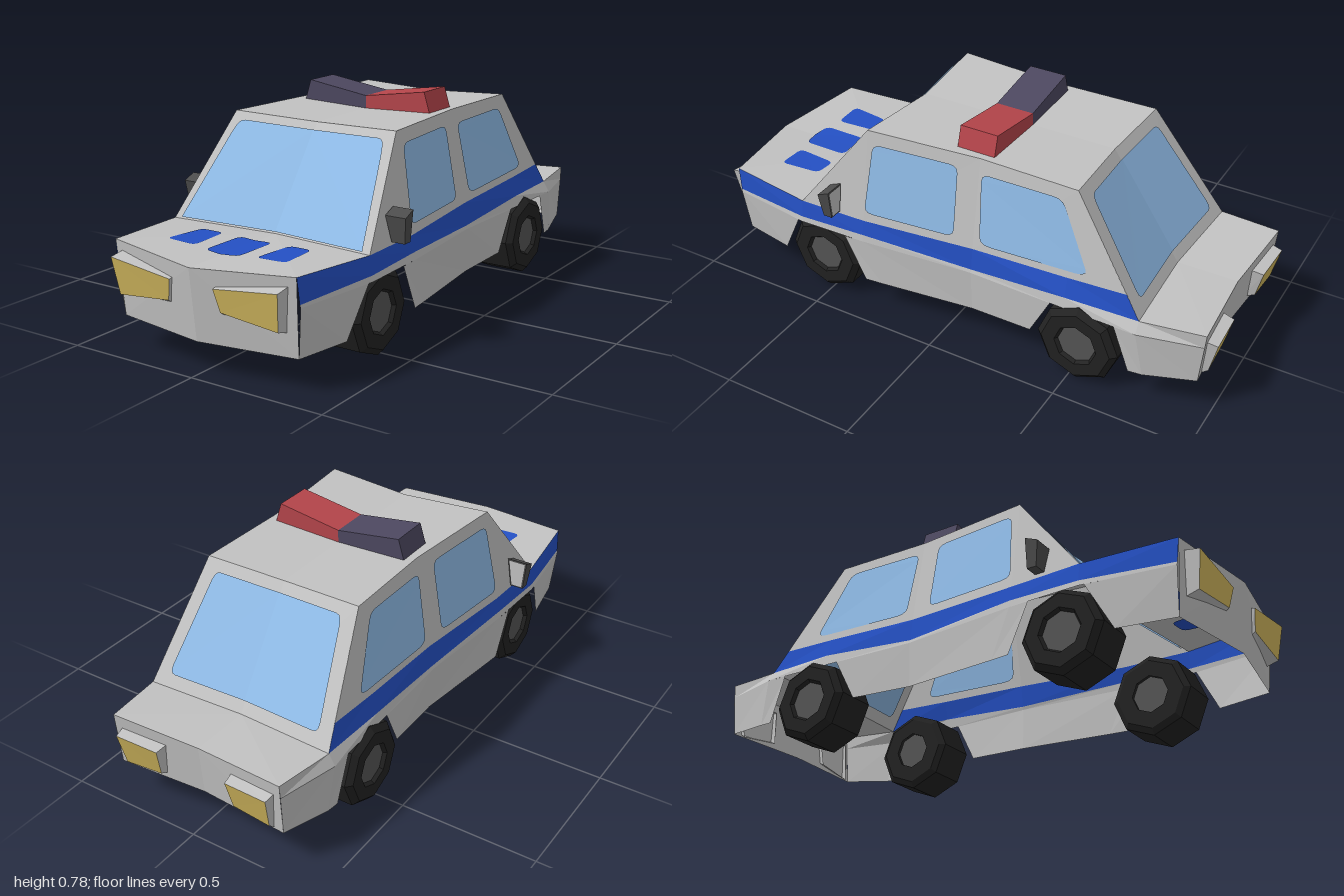
import * as THREE from 'three';

const paint = (name, color) => {
  const m = new THREE.MeshStandardMaterial({ color, flatShading: true, side: THREE.DoubleSide });
  m.name = name;
  return m;
};

export function createModel() {
  const grey = paint('body grey', 0xc2c2c2);
  const blue = paint('stripe blue', 0x2450c4);
  const glass = paint('window blue', 0x90bce8);
  const yellow = paint('lamp yellow', 0xd2b85e);
  const black = paint('tyre black', 0x222222);
  const hubGrey = paint('hub grey', 0x555555);
  const mirrorGrey = paint('mirror dark grey', 0x4c4c4c);
  const red = paint('beacon red', 0xb5454b);
  const navy = paint('beacon dark', 0x4d4860);

  const car = new THREE.Group();
  car.name = 'patrolCar';

  const add = (parent, name, geo, mat) => {
    const m = new THREE.Mesh(geo, mat);
    m.name = name;
    parent.add(m);
    return m;
  };

  // Sheet of quads between two rows of points
  const strip = (parent, name, mat, a, b) => {
    const pos = [];
    for (let i = 0; i < a.length - 1; i++) {
      for (const p of [a[i], b[i], b[i + 1], a[i], b[i + 1], a[i + 1]]) pos.push(...p);
    }
    const g = new THREE.BufferGeometry();
    g.setAttribute('position', new THREE.Float32BufferAttribute(pos, 3));
    g.computeVertexNormals();
    return add(parent, name, g, mat);
  };

  // Outline with rounded corners, points are [u, v, radius]
  const roundShape = (pts) => {
    const s = new THREE.Shape();
    pts.forEach(([x, y, r = 0], i) => {
      const p = new THREE.Vector2(x, y);
      const toward = (q) => {
        const d = new THREE.Vector2(q[0], q[1]).sub(p);
        return d.setLength(Math.min(r, d.length() / 2)).add(p);
      };
      const a = toward(pts[(i + pts.length - 1) % pts.length]);
      const b = toward(pts[(i + 1) % pts.length]);
      if (i === 0) s.moveTo(a.x, a.y); else s.lineTo(a.x, a.y);
      if (r > 0) s.quadraticCurveTo(x, y, b.x, b.y);
    });
    s.closePath();
    return s;
  };

  // Thin painted plate laid on both faces of a four-cornered panel
  const plate = (parent, name, mat, quad, pts, off = 0.005) => {
    const [a, b, c, d] = quad.map((p) => new THREE.Vector3(...p));
    const n = c.clone().sub(a).cross(d.clone().sub(b)).normalize();
    for (const side of [-1, 1]) {
      const g = new THREE.ShapeGeometry(roundShape(pts), 3);
      const pos = g.attributes.position;
      for (let i = 0; i < pos.count; i++) {
        const u = pos.getX(i), v = pos.getY(i);
        const p = a.clone().lerp(b, u).lerp(d.clone().lerp(c, u), v).addScaledVector(n, side * off);
        pos.setXYZ(i, p.x, p.y, p.z);
      }
      g.computeVertexNormals();
      add(parent, name, g, mat);
    }
  };

  // Lamp: coloured face with grey sides running back into the body
  const lamp = (parent, name, face, back) => {
    strip(parent, name + 'Housing', grey, [...face, face[0]], [...back, back[0]]);
    strip(parent, name + 'Face', yellow, [face[0], face[1]], [face[3], face[2]]);
  };

  // Shared corners of the left half
  const waist = [[0.405, 0.365, 0.6], [0.395, 0.362, 0.335], [0.358, 0.373, -0.1],
    [0.358, 0.39, -0.47], [0.353, 0.4, -0.686]];
  const roof = [[0.335, 0.71, 0.335], [0.297, 0.71, -0.1], [0.305, 0.71, -0.473]];
  const roofMid = [[0, 0.7, 0.31], [0, 0.7, -0.1], [0, 0.7, -0.457]];
  const nose = [0.365, 0.377, 0.932], noseMid = [0, 0.36, 0.995];
  const cowlMid = [0, 0.36, 0.555];
  const deck = [0.366, 0.32, -0.74], deckMid = [0, 0.316, -0.72];
  const tail = [0.338, 0.33, -0.967], tailMid = [0, 0.318, -0.943];
  const crease = [[0.37, 0.29, 0.925], [0.414, 0.3, 0.6], [0.406, 0.306, 0.335],
    [0.368, 0.29, -0.1], [0.378, 0.32, -0.47], deck];
  const belt = [[0.372, 0.28, 0.924], [0.418, 0.28, 0.6], [0.41, 0.28, 0.335],
    [0.372, 0.278, -0.1], [0.385, 0.28, -0.47], [0.39, 0.28, -0.74]];

  const buildHalf = (name) => {
    const h = new THREE.Group();
    h.name = name;

    // Upper shell
    const hood = [cowlMid, waist[0], nose, noseMid];
    const screen = [cowlMid, waist[0], roof[0], roofMid[0]];
    const rear = [deckMid, deck, roof[2], roofMid[2]];
    strip(h, 'hood', grey, [cowlMid, waist[0]], [noseMid, nose]);
    strip(h, 'windscreenFrame', grey, [cowlMid, waist[0]], [roofMid[0], roof[0]]);
    strip(h, 'roof', grey, roofMid, roof);
    strip(h, 'rearWindowFrame', grey, [deckMid, deck], [roofMid[2], roof[2]]);
    strip(h, 'trunkLid', grey, [deckMid, deck], [tailMid, tail]);
    strip(h, 'cabinSide', grey, waist, [roof[0], roof[0], roof[1], roof[2], roof[2]]);

    // Stripe and lower side panels with wheel openings
    strip(h, 'sideStripe', blue, [nose, ...waist, deck], [...crease.slice(0, 5), deck, deck]);
    strip(h, 'sidePanel', grey, crease, belt);
    strip(h, 'frontFenderSkirt', grey, [belt[0], [0.415, 0.28, 0.62]],
      [[0.355, 0.11, 0.912], [0.392, 0.11, 0.71]]);
    strip(h, 'doorSkirt', grey,
      [[0.413, 0.28, 0.41], belt[2], belt[3], [0.383, 0.28, -0.42]],
      [[0.41, 0.11, 0.33], [0.403, 0.11, 0.26], [0.366, 0.115, -0.1], [0.376, 0.125, -0.34]]);
    strip(h, 'rearFender', grey, [deck, tail], [belt[5], [0.338, 0.28, -0.963]]);
    strip(h, 'rearFenderSkirt', grey, [[0.388, 0.28, -0.66], belt[5], [0.338, 0.28, -0.963]],
      [[0.384, 0.11, -0.72], [0.38, 0.112, -0.77], [0.335, 0.13, -0.95]]);
    strip(h, 'frontPanel', grey, [noseMid, nose], [[0, 0.11, 0.968], [0.355, 0.11, 0.912]]);
    strip(h, 'rearPanel', grey, [tailMid, tail], [[0, 0.13, -0.927], [0.335, 0.13, -0.95]]);

    // Windows
    plate(h, 'windscreen', glass, screen,
      [[0, 0.01], [0.93, 0.01], [0.9, 0.8, 0.06], [0.88, 0.92, 0.06], [0, 0.92]], 0.006);
    plate(h, 'rearWindow', glass, rear,
      [[0, 0.1], [0.86, 0.1, 0.07], [0.83, 0.91, 0.07], [0, 0.91]], 0.006);
    plate(h, 'frontSideWindow', glass, [waist[1], waist[2], roof[1], roof[0]],
      [[0.01, 0.1, 0.08], [0.83, 0.09, 0.08], [0.82, 0.87, 0.08], [0.06, 0.87, 0.08]]);
    plate(h, 'rearSideWindow', glass, [waist[2], waist[4], roof[2], roof[1]],
      [[0.05, 0.08, 0.08], [0.78, 0.08, 0.08], [0.8, 0.86, 0.08], [0.03, 0.85, 0.08]], 0.006);

    // Hood marks
    plate(h, 'hoodMark', blue, hood,
      [[0.35, 0.22, 0.06], [0.57, 0.22, 0.06], [0.64, 0.64, 0.06], [0.33, 0.62, 0.06]], 0.004);
    plate(h, 'hoodCentreMark', blue, hood,
      [[0, 0.25], [0.17, 0.23, 0.06], [0.18, 0.65, 0.06], [0, 0.66]], 0.004);

    // Lamps
    lamp(h, 'headlight',
      [[0.335, 0.335, 0.988], [0.087, 0.305, 0.988], [0.105, 0.228, 0.975], [0.32, 0.205, 0.968]],
      [[0.335, 0.345, 0.925], [0.087, 0.31, 0.965], [0.105, 0.215, 0.955], [0.32, 0.19, 0.915]]);
    lamp(h, 'tailLight',
      [[0.305, 0.275, -0.998], [0.14, 0.27, -0.99], [0.15, 0.165, -0.965], [0.295, 0.155, -0.97]],
      [[0.312, 0.285, -0.95], [0.132, 0.28, -0.935], [0.145, 0.145, -0.92], [0.3, 0.125, -0.93]]);

    // Side mirror
    const outline = new THREE.Shape([[0.385, 0.485], [0.402, 0.375], [0.452, 0.375], [0.462, 0.485]]
      .map((p) => new THREE.Vector2(...p)));
    const housing = new THREE.ExtrudeGeometry(outline, { depth: 0.035, bevelEnabled: false });
    const pos = housing.attributes.position;
    for (let i = 0; i < pos.count; i++) {
      const lowFront = pos.getZ(i) > 0.01 && pos.getY(i) > 0.4;
      pos.setZ(i, pos.getZ(i) + 0.432 + (lowFront ? 0.012 : 0));
      if (lowFront) pos.setY(i, 0.465);
    }
    housing.computeVertexNormals();
    add(h, 'sideMirror', housing, mirrorGrey);
    strip(h, 'mirrorGlass', grey, [[0.392, 0.479, 0.43], [0.456, 0.479, 0.43]],
      [[0.407, 0.381, 0.43], [0.447, 0.381, 0.43]]);

    // Wheels: eight-sided tyre ring around a through hub
    for (const [wheelName, z] of [['frontWheel', 0.52], ['rearWheel', -0.53]]) {
      const wheel = new THREE.Group();
      wheel.name = wheelName;
      const ring = [[0.07, 0], [0.13, 0], [0.152, 0.015], [0.152, 0.16], [0.13, 0.18], [0.08, 0.18], [0.07, 0.165]]
        .map((p) => new THREE.Vector2(...p));
      add(wheel, 'tyre', new THREE.LatheGeometry(ring, 8), black);
      add(wheel, 'hub', new THREE.CylinderGeometry(0.071, 0.071, 0.155, 8), hubGrey).position.y = 0.0895;
      wheel.rotation.z = -Math.PI / 2;
      wheel.position.set(0.225, 0.152, z);
      h.add(wheel);
    }
    return h;
  };

  const left = buildHalf('leftHalf');
  const right = buildHalf('rightHalf');
  right.scale.x = -1;
  car.add(left, right);

  // Roof beacon bar
  for (const [name, s, mat] of [['leftBeacon', 1, red], ['rightBeacon', -1, navy]]) {
    const shape = new THREE.Shape([[0, 0.698], [0.268, 0.707], [0.245, 0.782], [0, 0.746]]
      .map(([x, y]) => new THREE.Vector2(s * x, y)));
    const g = new THREE.ExtrudeGeometry(shape, { depth: 0.145, bevelEnabled: false });
    add(car, name, g, mat).position.z = -0.137;
  }
  return car;
}
